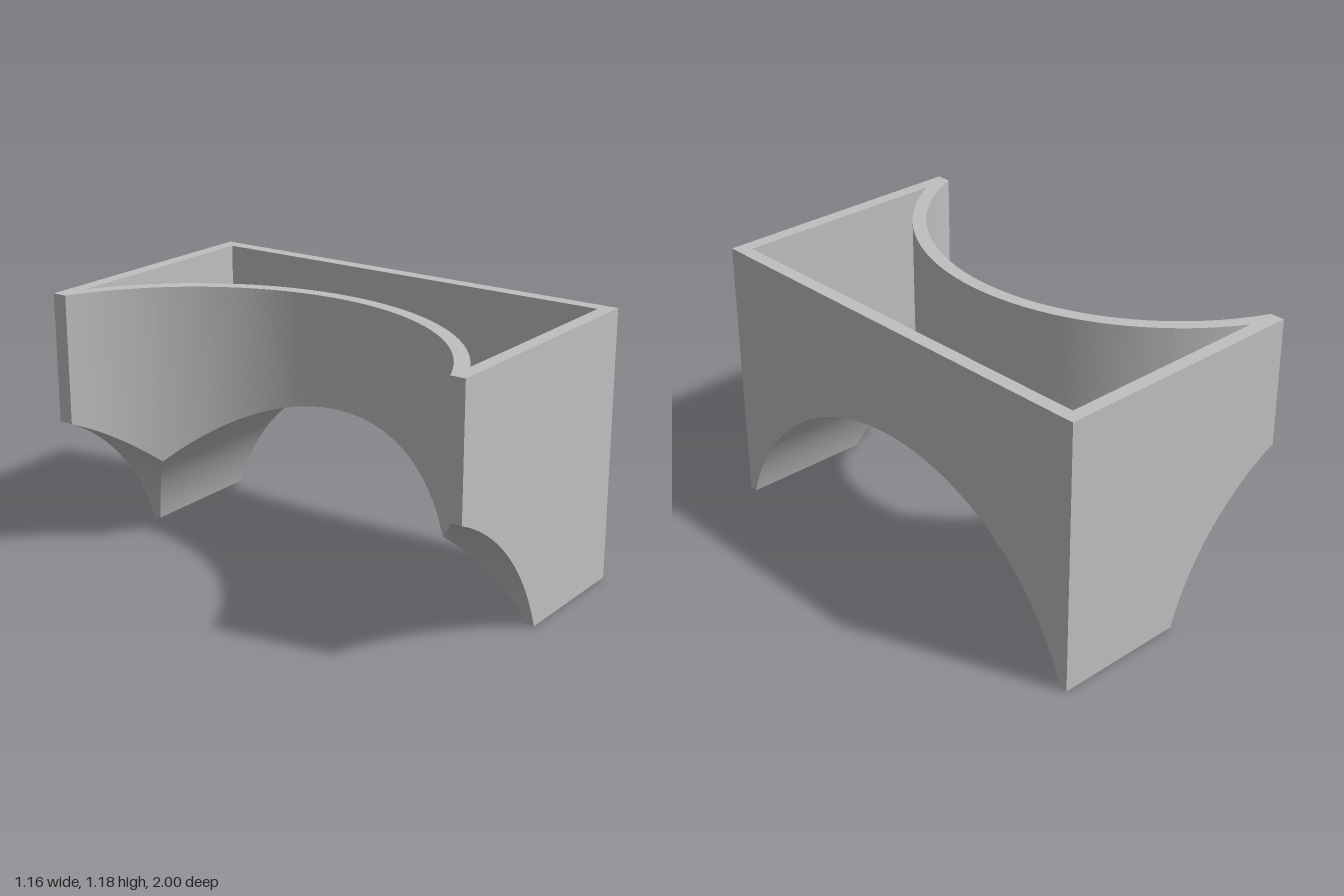
import * as THREE from 'three';

// Open-topped box hollowed by three crossing cylinders of equal radius.
// Built around the point where the cylinder axes cross, then shifted into place.
const AXIS_X = -0.975, AXIS_Y = -0.315;
const TOP = 1.495, FOOT = 0.315, OPEN_X = 0.395, Q = Math.PI / 4;
const outer = { r: 1.015, x1: 1.555, z1: 1, side: 1 };
const inner = { r: 1.075, x1: 1.495, z1: 0.94, side: -1 };
outer.span = Math.sqrt(outer.r ** 2 - FOOT ** 2);
outer.x0 = OPEN_X;
inner.span = inner.z1;
inner.x0 = Math.sqrt(inner.r ** 2 - inner.z1 ** 2);

// Angles running through the given stops, so the groin lines stay exact
function angles(...stops) {
  const list = [stops[0]];
  for (let i = 1; i < stops.length; i++) {
    const n = 24;
    for (let k = 1; k <= n; k++) list.push(stops[i - 1] + (stops[i] - stops[i - 1]) * k / n);
  }
  return list;
}

// Ruled sheet between pairs of points, wound to face the direction "out"
function sheet(pairs, out) {
  const index = [];
  for (let i = 0; i < pairs.length - 1; i++) {
    const a = 2 * i;
    index.push(a, a + 1, a + 2, a + 1, a + 3, a + 2);
  }
  const geo = new THREE.BufferGeometry();
  geo.setAttribute('position', new THREE.Float32BufferAttribute(pairs.flat(2), 3));
  geo.setIndex(index);
  geo.computeVertexNormals();
  const n = geo.attributes.normal;
  let facing = 0;
  for (let i = 0; i < n.count; i++) facing += n.getX(i) * out[0] + n.getY(i) * out[1] + n.getZ(i) * out[2];
  if (facing < 0) {
    geo.setIndex(index.reverse());
    geo.computeVertexNormals();
  }
  return geo;
}

export function createModel() {
  const model = new THREE.Group();
  model.name = 'vaultedBox';
  const shell = new THREE.Group();
  shell.position.set(AXIS_X, AXIS_Y, 0);
  shell.name = 'shell';
  model.add(shell);
  const grey = new THREE.MeshStandardMaterial({ color: 0xbfbfbf });
  grey.name = 'plain grey';

  const add = (name, geo) => {
    const mesh = new THREE.Mesh(geo, grey);
    mesh.name = name;
    shell.add(mesh);
  };

  for (const { r, x0, x1, z1, span, side } of [outer, inner]) {
    const label = side > 0 ? 'outer' : 'inner';
    const end = Math.asin(span / r), start = Math.asin(x0 / r), open = Math.acos(x0 / r);
    const arch = angles(-end, -Q, Q, end).map(t => [r * Math.sin(t), r * Math.cos(t)]);
    const cross = angles(start, Q, end).map(t => [r * Math.sin(t), r * Math.cos(t)]);
    const low = r * Math.cos(end);

    // Main barrel vault, running along x
    add(label + 'MainVault', sheet(
      arch.map(([z, y]) => [[Math.max(Math.abs(z), y), y, z], [x1, y, z]]), [0, -side, 0]));

    // Upright drum wall
    add(label + 'DrumWall', sheet(
      angles(-open, -Q, Q, open).map(t => {
        const x = r * Math.cos(t), z = r * Math.sin(t);
        return [[x, Math.max(x, Math.abs(z)), z], [x, TOP, z]];
      }), [-side, 0, 0]));

    // Long wall above the arch
    const wall = [[-z1, low], ...arch, [z1, low]];
    add(label + 'LongWall', sheet(wall.map(([z, y]) => [[x1, y, z], [x1, TOP, z]]), [side, 0, 0]));

    for (const s of [-1, 1]) {
      // Cross vault beside each end wall
      add(label + 'CrossVault', sheet(
        cross.map(([x, y]) => [[x, y, s * Math.max(x, y)], [x, y, s * z1]]), [-side, -side, 0]));
      // End wall with its quarter arch
      add(label + 'EndWall', sheet(
        [...cross, [x1, low]].map(([x, y]) => [[x, y, s * z1], [x, TOP, s * z1]]), [0, 0, s * side]));
    }
  }

  // Narrow feet and the upright edges at the open side
  const edge = Math.sqrt(outer.r ** 2 - OPEN_X ** 2);
  for (const s of [-1, 1]) {
    add('foot', sheet([outer.span, outer.x1].map(
      x => [[x, FOOT, s * outer.span], [x, FOOT, s * outer.z1]]), [0, -1, 0]));
    add('uprightEdge', sheet([edge, outer.z1].map(
      z => [[OPEN_X, edge, s * z], [OPEN_X, TOP, s * z]]), [-1, 0, 0]));
  }

  // Flat top rim with the cavity opening
  const outline = ({ r, x0, x1, z1 }) => {
    const a = Math.acos(x0 / r);
    const pts = angles(a, 0, -a).map(t => new THREE.Vector2(r * Math.cos(t), r * Math.sin(t)));
    const ends = [[x0, -z1], [x1, -z1], [x1, z1], [x0, z1]];
    // The cavity arc already meets its end walls
    const corners = r === inner.r ? ends.slice(1, 3) : ends;
    return [...pts, ...corners.map(p => new THREE.Vector2(...p))];
  };
  const rim = new THREE.Shape(outline(outer));
  rim.holes.push(new THREE.Path(outline(inner)));
  add('topRim', new THREE.ShapeGeometry(rim).rotateX(-Math.PI / 2).translate(0, TOP, 0));

  return model;
}
